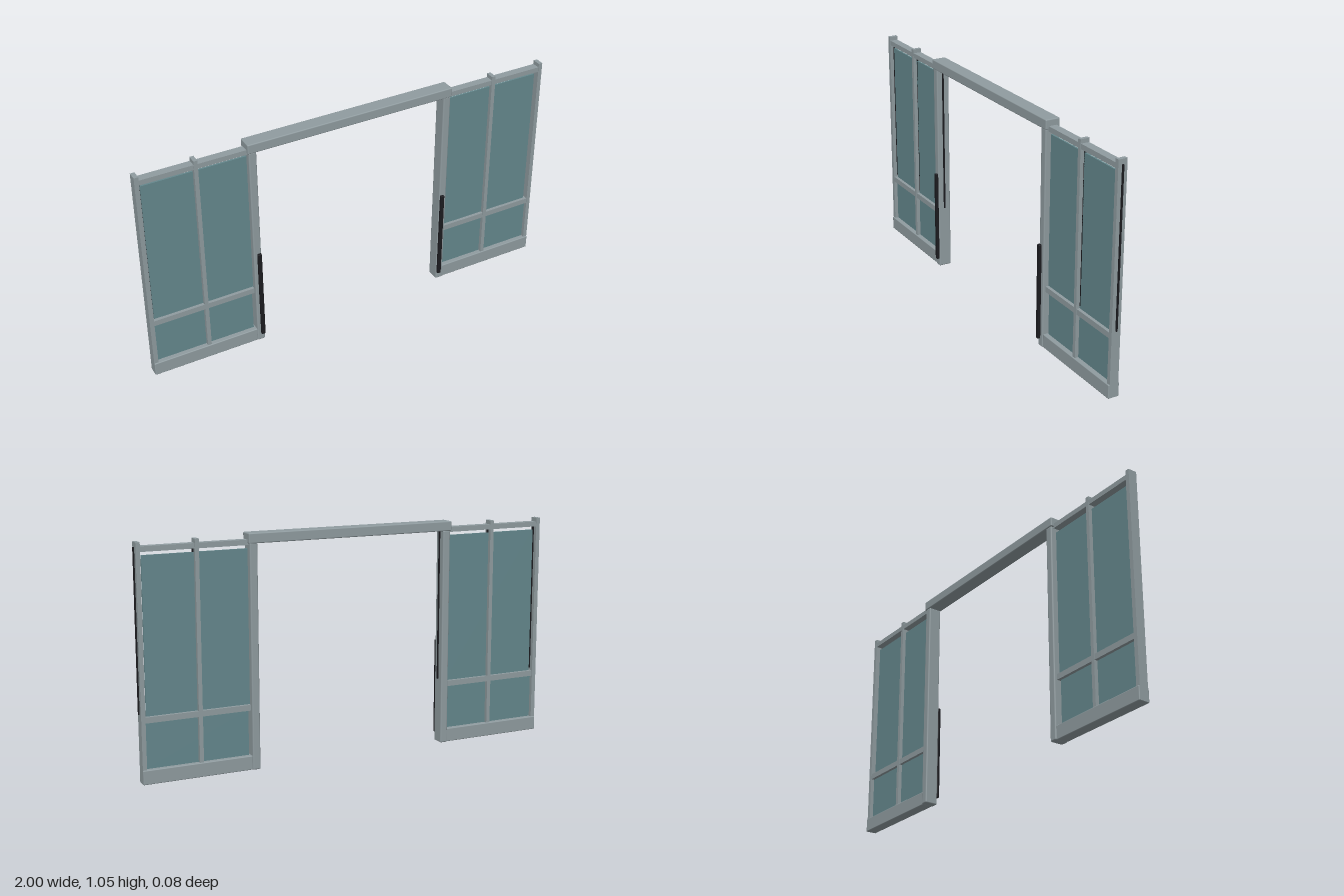
import * as THREE from 'three';
import { RoundedBoxGeometry } from 'three/addons/geometries/RoundedBoxGeometry.js';

const material = (name, color) => {
  const m = new THREE.MeshStandardMaterial({ color });
  m.name = name;
  return m;
};

export function createModel() {
  const frame = material('frame grey', 0x8f9b9f);
  const glass = material('glass teal', 0x64878c);
  const black = material('seal black', 0x1b1b1f);
  const model = new THREE.Group();
  model.name = 'slidingDoorway';

  // Box given by its limits on each axis; a radius rounds its edges
  function box(parent, name, mat, [x0, x1], [y0, y1], [z0, z1], radius = 0) {
    const size = [x1 - x0, y1 - y0, z1 - z0];
    const geometry = radius
      ? new RoundedBoxGeometry(...size, 2, radius)
      : new THREE.BoxGeometry(...size);
    const mesh = new THREE.Mesh(geometry, mat);
    mesh.name = name;
    mesh.position.set((x0 + x1) / 2, (y0 + y1) / 2, (z0 + z1) / 2);
    parent.add(mesh);
  }

  const postZ = [-0.024, 0.018];
  const railZ = [-0.022, 0.016];
  const glassZ = [-0.007, 0.001];
  const sealZ = [-0.006, 0.001];
  const sealY = [0.305, 1.015];

  // Side panels: outer and middle posts, rails and glazing
  const panels = [
    { name: 'rightPanel', a: -1, b: -0.498, outer: [-1, -0.98], middle: [-0.742, -0.724] },
    { name: 'leftPanel', a: 0.488, b: 0.99, outer: [0.971, 0.99], middle: [0.715, 0.733] },
  ];
  for (const { name, a, b, outer, middle } of panels) {
    const panel = new THREE.Group();
    panel.name = name;
    model.add(panel);
    box(panel, 'bottomRail', frame, [a, b], [0, 0.064], [-0.029, 0.023], 0.004);
    box(panel, 'middleRail', frame, [a + 0.004, b - 0.004], [0.268, 0.294], railZ);
    box(panel, 'topRail', frame, [a + 0.004, b - 0.004], [0.996, 1.019], railZ);
    for (const [label, post] of [['outerPost', outer], ['middlePost', middle]]) {
      box(panel, label, frame, post, [0.002, 1.037], postZ);
      // Seal strip standing on the +x face of the post
      box(panel, label + 'Seal', black, [post[1], post[1] + 0.006], sealY, sealZ);
    }
    const g0 = a < 0 ? -0.972 : 0.488;
    const g1 = a < 0 ? -0.498 : 0.962;
    box(panel, 'lowerGlass', glass, [a + 0.01, b - 0.01], [0.06, 0.27], glassZ);
    box(panel, 'upperGlass', glass, [g0, g1], [0.29, 0.98], glassZ);
  }

  // Door jambs with long pull handles on the front
  const jambs = [
    { name: 'rightJamb', x: [-0.5, -0.464], handle: [-0.485, -0.467] },
    { name: 'leftJamb', x: [0.454, 0.49], handle: [0.456, 0.474] },
  ];
  for (const { name, x, handle } of jambs) {
    box(model, name, frame, x, [0, 1.006], [-0.035, 0.027], 0.006);
    box(model, name + 'Handle', black, handle, [0.038, 0.485], [0.026, 0.04], 0.003);
  }
  box(model, 'rightJambSeal', black, [-0.465, -0.459], sealY, sealZ);

  // Lintel across the opening
  box(model, 'lintel', frame, [-0.505, 0.495], [1.003, 1.048], [-0.038, 0.03], 0.005);
  return model;
}
